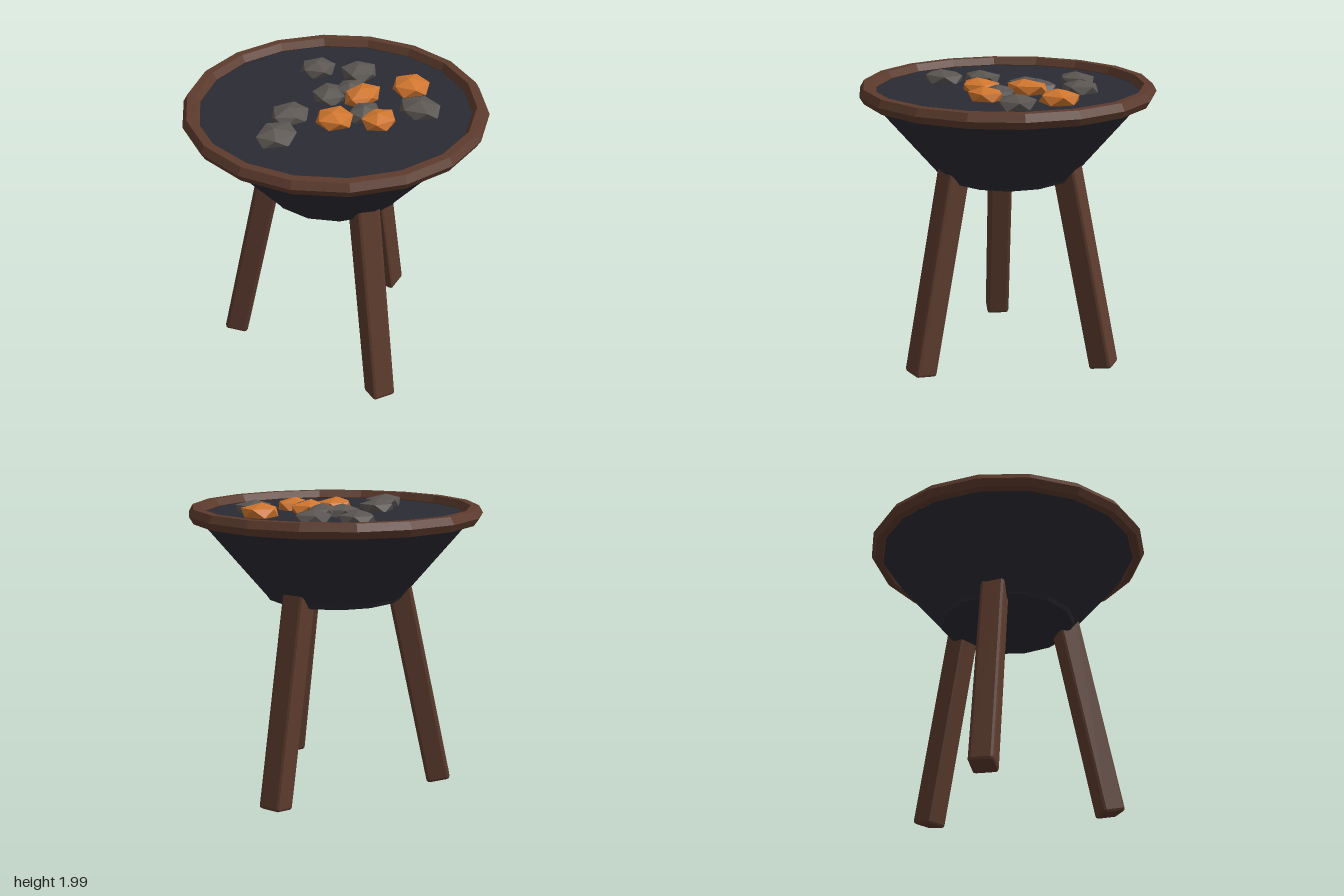
import * as THREE from 'three';
import { mergeVertices } from 'three/addons/utils/BufferGeometryUtils.js';
import { RoundedBoxGeometry } from 'three/addons/geometries/RoundedBoxGeometry.js';

const paint = (name, color) => {
  const m = new THREE.MeshStandardMaterial({ color });
  m.name = name;
  return m;
};

// Faceted normals for the low-poly look
function facet(geometry) {
  const g = geometry.index ? geometry.toNonIndexed() : geometry;
  g.computeVertexNormals();
  return g;
}

function seeded(seed) {
  let s = seed;
  return () => (s = (s * 16807) % 2147483647) / 2147483647;
}

// Flattened, irregular icosahedron with one vertex pointing up
function coalGeometry(rx, ry, rz, seed) {
  const random = seeded(seed * 7919 + 13);
  let g = new THREE.IcosahedronGeometry(1, 0);
  g.rotateX(-1.0172);
  g.rotateY(random() * 6.28);
  g.deleteAttribute('normal');
  g.deleteAttribute('uv');
  g = mergeVertices(g, 1e-3);
  const p = g.attributes.position;
  for (let i = 0; i < p.count; i++) {
    const k = 0.98 + random() * 0.18;
    const isTop = p.getY(i) > 0.9;
    const dx = isTop ? (random() - 0.5) * 0.4 : 0;
    p.setXYZ(i, (p.getX(i) * k + dx) * rx, p.getY(i) * ry, p.getZ(i) * k * rz);
  }
  return facet(g);
}

export function createModel() {
  const iron = paint('dark iron', 0x2b2b33);
  const wood = paint('brown wood', 0x5c3b2d);
  const ash = paint('grey coal', 0x5b5652);
  const ember = paint('glowing orange', 0xd0762f);

  const model = new THREE.Group();
  model.name = 'brazier';
  const add = (name, geometry, material, parent = model) => {
    const mesh = new THREE.Mesh(geometry, material);
    mesh.name = name;
    parent.add(mesh);
    return mesh;
  };

  // Bowl with chamfered foot, closed by a flat bed
  const profile = [[0, 1.32], [0.435, 1.32], [0.462, 1.33], [0.478, 1.355], [0.938, 1.9], [0, 1.9]]
    .map(([r, y]) => new THREE.Vector2(r, y));
  add('bowl', facet(new THREE.LatheGeometry(profile, 14)), iron);

  // Wooden rim with hexagonal section
  const rim = new THREE.TorusGeometry(0.935, 0.055, 6, 18);
  rim.rotateX(Math.PI / 2);
  add('rim', facet(rim), wood).position.y = 1.905;

  // Three splayed legs
  const length = 1.5;
  const tilt = 0.211;
  for (let i = 0; i < 3; i++) {
    const pivot = new THREE.Group();
    pivot.name = 'leg' + (i + 1);
    pivot.rotation.y = (i * Math.PI * 2) / 3;
    const leg = new RoundedBoxGeometry(0.165, length, 0.165, 1, 0.022);
    leg.translate(0, length / 2, 0);
    const post = add('legPost', facet(leg), wood, pivot);
    post.position.set(0.732, 0.018, 0);
    post.rotation.z = tilt;
    model.add(pivot);
  }

  // Coals: x, z, half width, half depth, peak height
  const greyCoals = [
    [-0.51, -0.08, 0.15, 0.115, 1.982], [-0.26, -0.17, 0.13, 0.115, 1.98],
    [0.1, -0.11, 0.125, 0.115, 1.975], [0.22, -0.03, 0.12, 0.1, 1.985],
    [0.35, -0.39, 0.125, 0.115, 1.98], [0.47, -0.13, 0.125, 0.12, 1.98],
    [0.03, 0.21, 0.125, 0.1, 1.975], [0.27, 0.47, 0.125, 0.135, 1.983],
  ];
  const embers = [
    [-0.15, 0.1, 0.13, 0.125, 1.985], [0.18, 0.09, 0.14, 0.105, 2.0],
    [0, 0.34, 0.125, 0.11, 1.983], [0.48, 0.27, 0.135, 0.13, 1.995],
  ];
  const pile = (name, list, material, seed) => list.forEach(([x, z, rx, rz, top], i) => {
    const ry = 0.06;
    add(name + (i + 1), coalGeometry(rx, ry, rz, seed + i), material).position.set(x, top - ry, z);
  });
  pile('coal', greyCoals, ash, 1);
  pile('ember', embers, ember, 21);

  return model;
}
